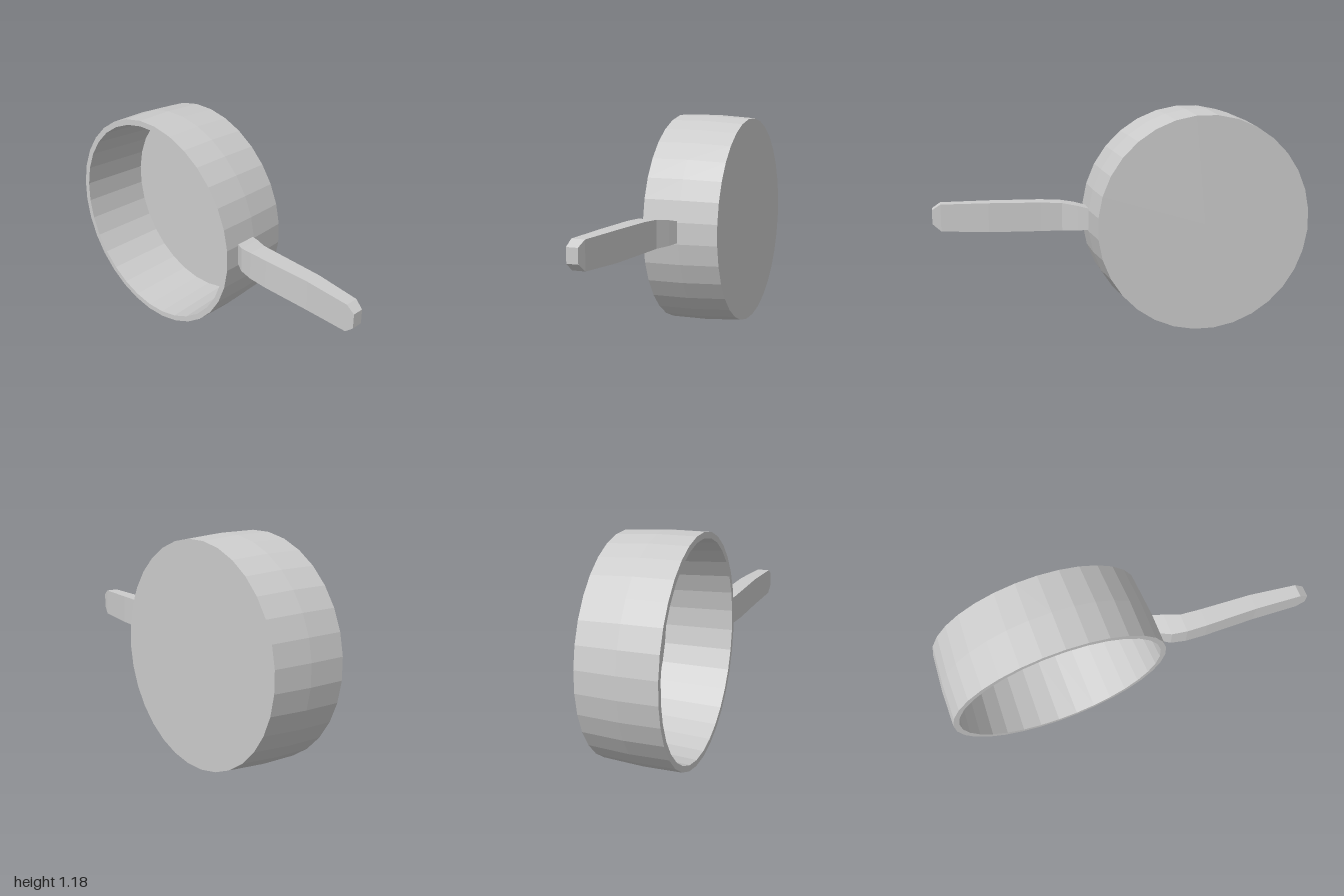
import * as THREE from 'three';

const material = new THREE.MeshStandardMaterial({ color: 0xcccccc, flatShading: true });

// Closed solid lofted through rectangular sections: [x, yBottom, yTop, zBack, zFront]
function loftAlongX(sections) {
  const positions = [];
  const index = [];
  for (const [x, y0, y1, z0, z1] of sections) {
    positions.push(x, y0, z0, x, y0, z1, x, y1, z1, x, y1, z0);
  }
  for (let s = 0; s < sections.length - 1; s++) {
    for (let k = 0; k < 4; k++) {
      const a = s * 4 + k;
      const b = s * 4 + (k + 1) % 4;
      index.push(a, a + 4, b, b, a + 4, b + 4);
    }
  }
  const e = (sections.length - 1) * 4;
  index.push(0, 1, 2, 0, 2, 3, e, e + 2, e + 1, e, e + 3, e + 2);
  const geometry = new THREE.BufferGeometry();
  geometry.setAttribute('position', new THREE.Float32BufferAttribute(positions, 3));
  geometry.setIndex(index);
  geometry.computeVertexNormals();
  return geometry;
}

export function createModel() {
  const model = new THREE.Group();
  model.name = 'pan';

  // Hollow bowl: outer base, flared wall, rim, inner wall and floor
  const sides = 32;
  const profile = [
    [0, -0.21], [0.575, -0.21], [0.59, 0], [0.591, 0.2],
    [0.56, 0.2], [0.535, -0.175], [0, -0.175],
  ].map(([r, y]) => new THREE.Vector2(r, y));
  const bowlGeometry = new THREE.LatheGeometry(profile, sides, Math.PI / sides);
  bowlGeometry.rotateX(Math.PI / 2);
  const bowl = new THREE.Mesh(bowlGeometry, material);
  bowl.name = 'bowl';
  bowl.position.set(-0.411, 0.59, 0);
  model.add(bowl);

  // Bent handle with a blunt chamfered tip
  const handle = new THREE.Mesh(loftAlongX([
    [0.17, 0.54, 0.655, 0.005, 0.115],
    [0.23, 0.533, 0.668, 0.03, 0.15],
    [0.31, 0.53, 0.68, 0.066, 0.168],
    [0.42, 0.528, 0.685, 0.079, 0.176],
    [0.7, 0.53, 0.688, 0.1, 0.185],
    [0.95, 0.538, 0.684, 0.135, 0.204],
    [0.995, 0.577, 0.653, 0.147, 0.207],
  ]), material);
  handle.name = 'handle';
  model.add(handle);

  return model;
}
